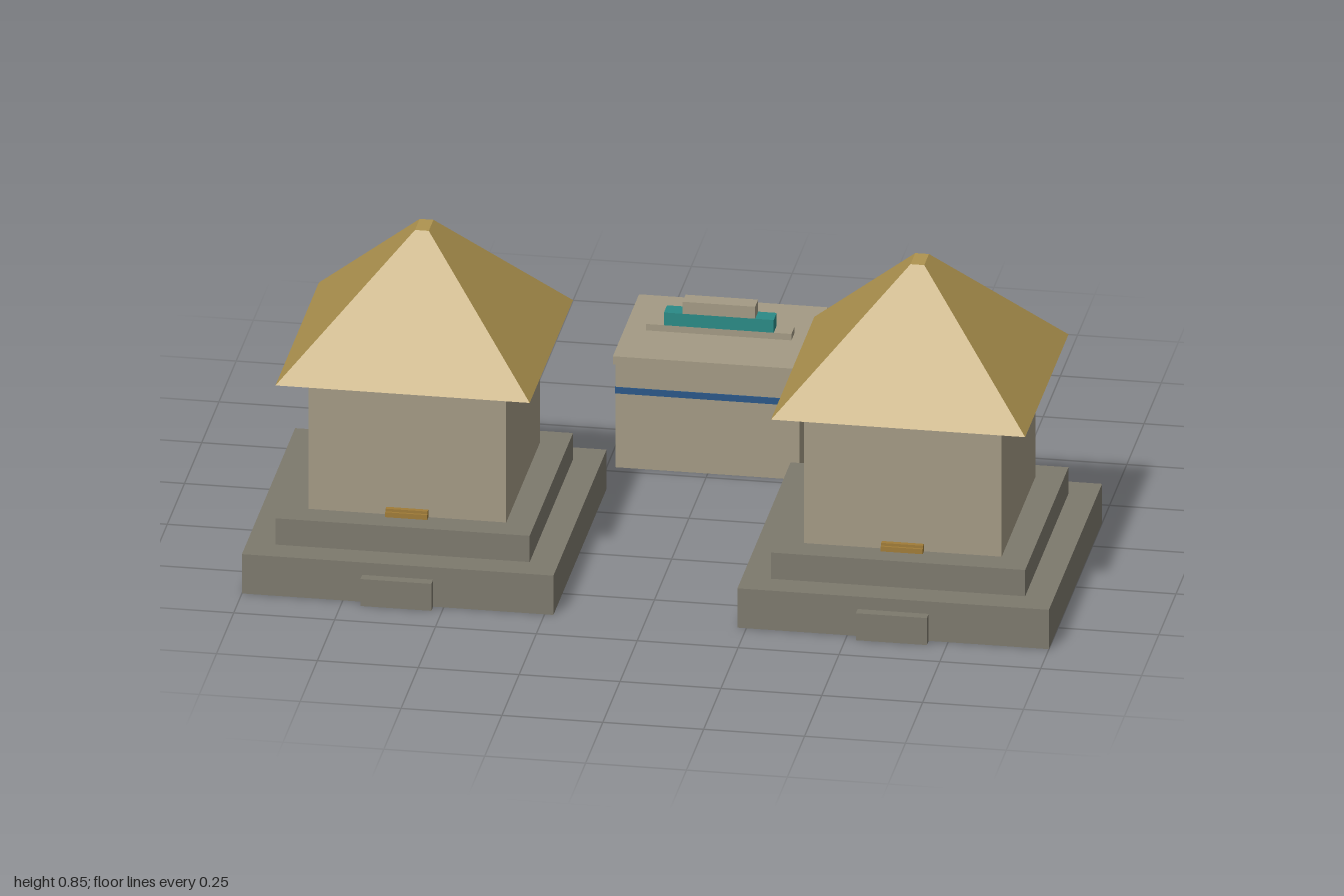
import * as THREE from 'three';

const mat = (name, color) => {
  const m = new THREE.MeshStandardMaterial({ color });
  m.name = name;
  return m;
};

export function createModel() {
  const wall = mat('wall stone', 0xa39a84);
  const base = mat('base stone', 0x7d796d);
  const thatch = mat('thatch gold', 0xae934f);
  const wood = mat('door wood', 0xa07c38);
  const trim = mat('door trim', 0x7a6030);
  const teal = mat('sign teal', 0x2a8a86);
  const blue = mat('stripe blue', 0x2a5788);

  // Box given by centre x, centre z, bottom and top
  const box = (parent, name, material, w, d, y0, y1, x = 0, z = 0) => {
    const mesh = new THREE.Mesh(new THREE.BoxGeometry(w, y1 - y0, d), material);
    mesh.position.set(x, (y0 + y1) / 2, z);
    mesh.name = name;
    parent.add(mesh);
    return mesh;
  };

  const model = new THREE.Group();
  model.name = 'village';

  // Two hip-roofed houses on stepped plinths
  for (const [name, side] of [['leftHouse', 1], ['rightHouse', -1]]) {
    const house = new THREE.Group();
    house.name = name;
    house.position.set(side * 0.614, 0, 0.245);
    box(house, 'lowerPlinth', base, 0.772, 0.772, 0, 0.105);
    box(house, 'upperPlinth', base, 0.63, 0.63, 0.105, 0.175);
    box(house, 'walls', wall, 0.49, 0.49, 0.175, 0.53);
    box(house, 'frontStep', base, 0.176, 0.028, 0, 0.072, 0, 0.398);
    box(house, 'doorSill', wood, 0.104, 0.012, 0.175, 0.195, 0, 0.251);
    box(house, 'doorSillLip', wood, 0.104, 0.006, 0.175, 0.188, 0, 0.26);

    // Roof: a box with its top drawn in to a short ridge
    const roof = box(house, 'roof', thatch, 0.63, 0.63, 0.53, 0.845);
    const p = roof.geometry.attributes.position;
    for (let i = 0; i < p.count; i++) {
      if (p.getY(i) > 0) p.setXYZ(i, Math.sign(p.getX(i)) * 0.017, p.getY(i), Math.sign(p.getZ(i)) * 0.034);
    }
    roof.geometry.computeVertexNormals();
    model.add(house);
  }

  // Small flat-roofed hut behind, with its door at the back
  const hut = new THREE.Group();
  hut.name = 'hut';
  hut.position.z = -0.457;
  box(hut, 'hutWalls', wall, 0.456, 0.366, 0, 0.277);
  box(hut, 'hutStripe', blue, 0.46, 0.37, 0.198, 0.215);
  box(hut, 'hutRoof', wall, 0.468, 0.38, 0.277, 0.299);

  // Stepped sign on the roof
  box(hut, 'signBase', wall, 0.36, 0.044, 0.299, 0.316);
  box(hut, 'signBand', teal, 0.272, 0.044, 0.316, 0.35);
  box(hut, 'signTop', wall, 0.18, 0.044, 0.35, 0.382);

  // Door, frame and knob
  box(hut, 'doorFrame', trim, 0.074, 0.008, 0.004, 0.136, 0, -0.187);
  box(hut, 'door', wood, 0.062, 0.004, 0.006, 0.128, 0, -0.192);
  const knob = new THREE.Mesh(new THREE.SphereGeometry(0.005, 10, 8), trim);
  knob.name = 'doorKnob';
  knob.position.set(-0.02, 0.065, -0.195);
  hut.add(knob);
  model.add(hut);

  return model;
}
